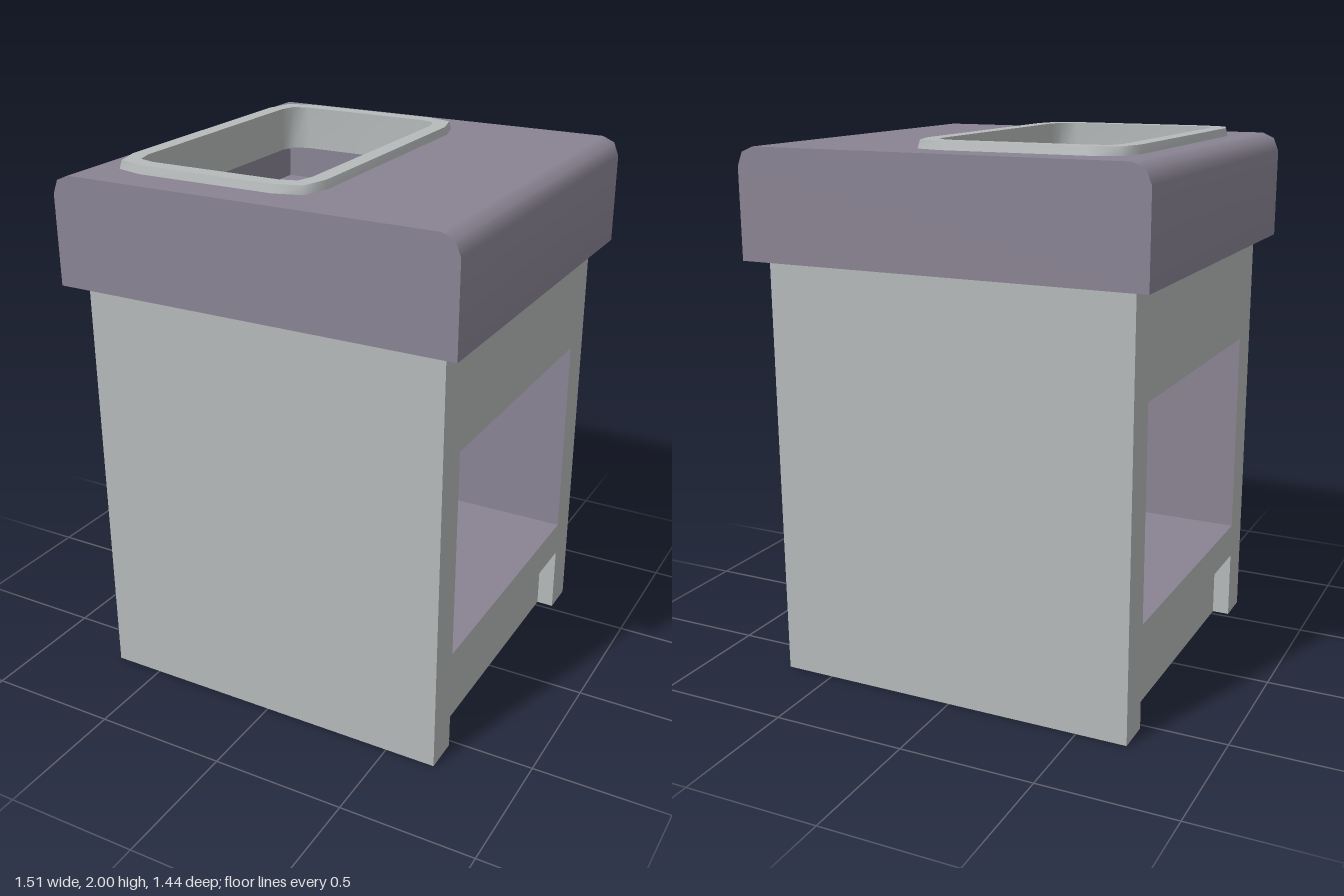
import * as THREE from 'three';
import { toCreasedNormals } from 'three/addons/utils/BufferGeometryUtils.js';

const U = 2 / 30.5; // modelling unit: every size below is a multiple of it

const grey = new THREE.MeshStandardMaterial({ color: 0xb6babb, side: THREE.DoubleSide });
grey.name = 'pale grey';
const mauve = new THREE.MeshStandardMaterial({ color: 0x8a8493, side: THREE.DoubleSide });
mauve.name = 'mauve grey';

function add(parent, name, geo, mat) {
  const mesh = new THREE.Mesh(geo, mat);
  mesh.name = name;
  parent.add(mesh);
  return mesh;
}

const poly = (pts) => new THREE.Shape(pts.map(([x, y]) => new THREE.Vector2(x * U, y * U)));
const rect = (x0, y0, x1, y1) => poly([[x0, y0], [x1, y0], [x1, y1], [x0, y1]]);

// Inward-facing box between two corners, leaving out the open sides
// (0 +x, 1 -x, 2 +y, 3 -y, 4 +z, 5 -z)
function recess(min, max, open) {
  const size = max.map((v, i) => (v - min[i]) * U);
  const geo = new THREE.BoxGeometry(...size);
  const src = geo.index.array, index = [];
  for (let f = 0; f < 6; f++) {
    if (open.includes(f)) continue;
    for (let t = f * 6; t < f * 6 + 6; t += 3) index.push(src[t], src[t + 2], src[t + 1]);
  }
  geo.setIndex(index);
  geo.clearGroups();
  const n = geo.attributes.normal;
  for (let i = 0; i < n.array.length; i++) n.array[i] *= -1;
  return geo.translate(...max.map((v, i) => (v + min[i]) * U / 2));
}

// Rounded long edge of the lid: [x, y, normal x, normal y]
const edge = [[11.5, 24, 1, 0], [11.5, 29, 0.97, 0.24], [11.2, 29.75, 0.65, 0.76], [10.5, 30.05, 0, 1]];

function lidEdge() {
  const pos = [], nor = [], index = [];
  edge.forEach(([x, y, nx, ny], i) => {
    for (const z of [11, -11]) {
      pos.push(x * U, y * U, z * U);
      nor.push(nx, ny, 0);
    }
    const a = i * 2;
    if (i < edge.length - 1) index.push(a, a + 1, a + 2, a + 1, a + 3, a + 2);
  });
  const geo = new THREE.BufferGeometry();
  geo.setAttribute('position', new THREE.Float32BufferAttribute(pos, 3));
  geo.setAttribute('normal', new THREE.Float32BufferAttribute(nor, 3));
  geo.setIndex(index);
  return geo;
}

// Rim of the opening: rectangular loops with clipped corners
function rimGeometry() {
  // half width, half depth, corner cut, height
  const loops = [[6, 9, 2, 30], [5.9, 8.9, 2, 30.5], [5, 8, 1.2, 30.5], [5, 8, 1.2, 28], [5.6, 8.6, 1.2, 28]];
  const pos = [], index = [], N = 12;
  for (const [hx, hz, c, y] of loops) {
    const corner = [[hx, hz - c], [hx - c * 0.22, hz - c * 0.22], [hx - c, hz]];
    const back = [...corner].reverse();
    const ring = [
      ...corner,
      ...back.map(([x, z]) => [-x, z]),
      ...corner.map(([x, z]) => [-x, -z]),
      ...back.map(([x, z]) => [x, -z]),
    ];
    for (const [x, z] of ring) pos.push((x - 3.5) * U, y * U, z * U);
  }
  for (let l = 0; l < loops.length - 1; l++) {
    for (let i = 0; i < N; i++) {
      const a = l * N + i, b = l * N + (i + 1) % N;
      index.push(a, a + N, b, b, a + N, b + N);
    }
  }
  const geo = new THREE.BufferGeometry();
  geo.setAttribute('position', new THREE.Float32BufferAttribute(pos, 3));
  geo.setIndex(index);
  return toCreasedNormals(geo, 1.1);
}

// One half of the cabinet and lid, repeated by a half turn
function half(name) {
  const g = new THREE.Group();
  g.name = name;

  // Side wall with niche opening and toe-kick notch
  const wall = poly([[-10, 0], [-8, 0], [-8, 4], [8, 4], [8, 0], [10, 0], [10, 24], [-10, 24]]);
  wall.holes.push(rect(-8, 6, 8, 18));
  add(g, 'sideWall', new THREE.ShapeGeometry(wall).rotateY(Math.PI / 2).translate(10.5 * U, 0, 0), grey);
  add(g, 'niche', recess([1, 6, -8], [10.5, 18, 8], [0]), mauve);
  add(g, 'toeKick', recess([9.5, 0, -8], [10.5, 4, 8], [0, 3]), grey);

  // Plain front panel
  add(g, 'endPanel', new THREE.ShapeGeometry(rect(-10.5, 0, 10.5, 24)).translate(0, 0, 10 * U), grey);

  // Lid edge and lid end
  add(g, 'lidEdge', lidEdge(), mauve);
  const end = poly([
    ...edge.map(([x, y]) => [x, y]),
    ...[...edge].reverse().map(([x, y]) => [-x, y]),
  ]);
  add(g, 'lidEnd', new THREE.ShapeGeometry(end).translate(0, 0, 11 * U), mauve);
  return g;
}

export function createModel() {
  const model = new THREE.Group();
  model.name = 'cabinetWithBasin';

  const first = half('frontHalf');
  const second = half('backHalf');
  second.rotation.y = Math.PI;
  model.add(first, second);

  // Underside of the cabinet, notched by the toe kicks
  const base = poly([
    [-10.5, -10], [10.5, -10], [10.5, -8], [9.5, -8], [9.5, 8], [10.5, 8],
    [10.5, 10], [-10.5, 10], [-10.5, 8], [-9.5, 8], [-9.5, -8], [-10.5, -8],
  ]);
  add(model, 'base', new THREE.ShapeGeometry(base).rotateX(Math.PI / 2), grey);

  // Underside and top of the lid
  const under = rect(-11.5, -11, 11.5, 11);
  under.holes.push(rect(-10.5, -10, 10.5, 10));
  add(model, 'lidUnderside', new THREE.ShapeGeometry(under).rotateX(Math.PI / 2).translate(0, 24 * U, 0), mauve);
  const top = rect(-10.5, -11, 10.5, 11);
  top.holes.push(rect(-9, -8.5, 2, 8.5));
  add(model, 'lidTop', new THREE.ShapeGeometry(top).rotateX(-Math.PI / 2).translate(0, 30.05 * U, 0), mauve);

  // Basin sunk into the lid, with its raised rim
  add(model, 'basin', recess([-9, 26, -8.5], [2, 30.05, 8.5], [2]), mauve);
  add(model, 'basinRim', rimGeometry(), grey);

  return model;
}
